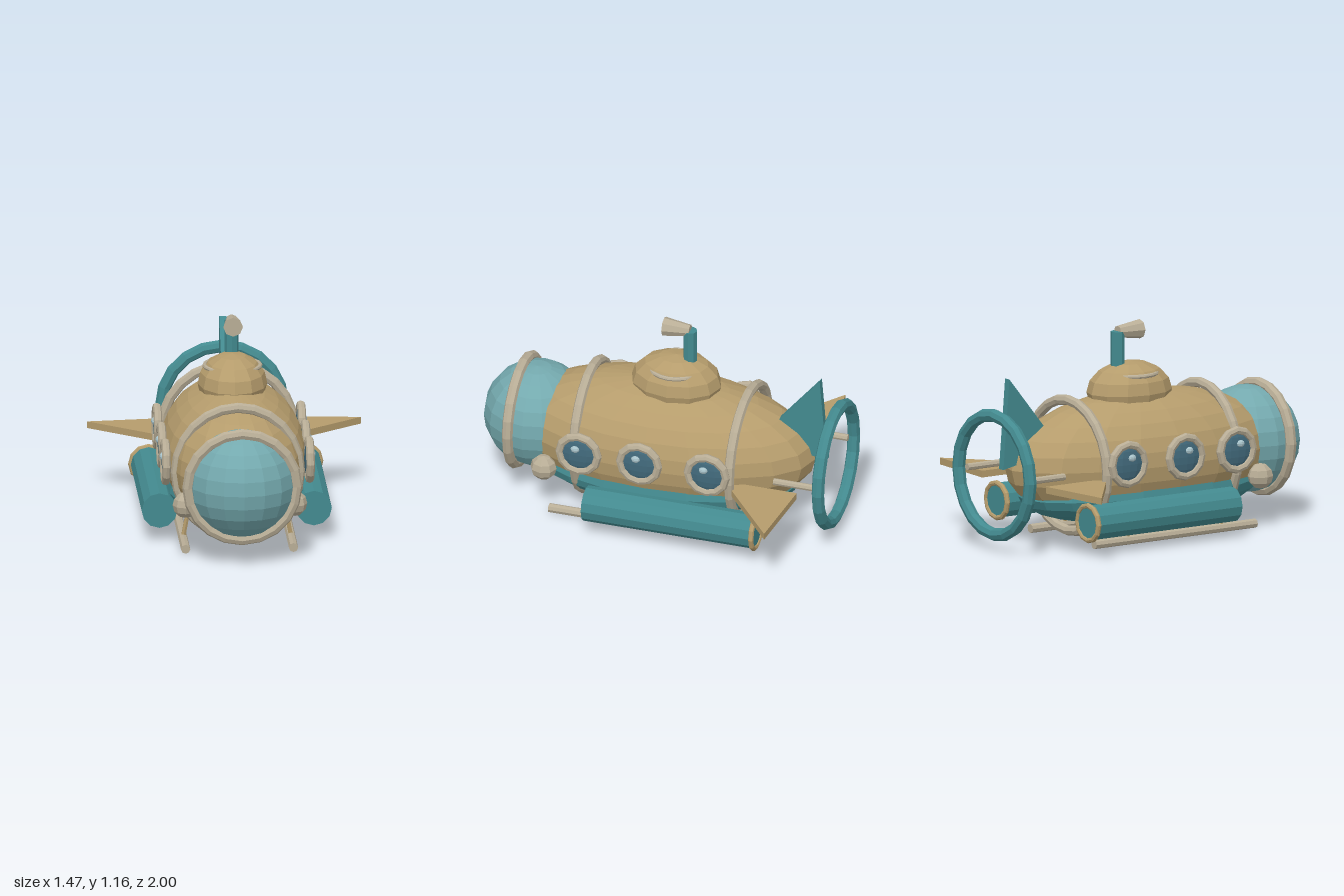
import * as THREE from 'three';

const mat = (color) => new THREE.MeshStandardMaterial({ color, flatShading: true });

export function createModel() {
  const root = new THREE.Group();
  root.name = 'submarine';
  const tan = mat(0xb59c6c), teal = mat(0x438a8f), glass = mat(0x74a9ae);
  const trim = mat(0xb8ad96), darkGlass = mat(0x426a7c), glint = mat(0xa9c4cb);

  const add = (name, geometry, material, x = 0, y = 0, z = 0) => {
    const mesh = new THREE.Mesh(geometry, material);
    mesh.name = name;
    mesh.position.set(x, y, z);
    root.add(mesh);
    return mesh;
  };
  const ellipsoid = (name, material, [rx, ry, rz], [x, y, z], w = 16, h = 12) =>
    add(name, new THREE.SphereGeometry(1, w, h).scale(rx, ry, rz), material, x, y, z);
  const ring = (name, material, radius, tube, x, y, z, segments = 20) =>
    add(name, new THREE.TorusGeometry(radius, tube, 8, segments), material, x, y, z);
  // Cylinder running along z from z0 (back) to z1 (front)
  const rodZ = (name, material, rBack, rFront, x, y, z0, z1, sides = 8) =>
    add(name, new THREE.CylinderGeometry(rFront, rBack, z1 - z0, sides).rotateX(Math.PI / 2),
      material, x, y, (z0 + z1) / 2);
  // Cylinder between two points
  const strut = (name, material, r, a, b) => {
    const p = new THREE.Vector3(...a), q = new THREE.Vector3(...b);
    const mesh = add(name, new THREE.CylinderGeometry(r, r, p.distanceTo(q), 6), material);
    mesh.position.copy(p).add(q).multiplyScalar(0.5);
    mesh.quaternion.setFromUnitVectors(new THREE.Vector3(0, 1, 0), q.sub(p).normalize());
  };
  // Flat plate from an outline, centred on its thickness
  const plate = (points, depth) => new THREE.ExtrudeGeometry(
    new THREE.Shape(points.map(([a, b]) => new THREE.Vector2(a, b))),
    { depth, bevelEnabled: false }).translate(0, 0, -depth / 2);

  // Hull, belly and front window
  ellipsoid('hull', tan, [0.39, 0.36, 0.85], [0, 0.42, 0], 20, 14);
  ellipsoid('belly', teal, [0.375, 0.18, 0.76], [0, 0.25, 0], 20, 12);
  ellipsoid('frontWindow', glass, [0.29, 0.29, 0.29], [0, 0.43, 0.71], 16, 12);
  ring('windowRim', trim, 0.293, 0.03, 0, 0.43, 0.79);
  ring('frontHullBand', trim, 0.356, 0.028, 0, 0.41, 0.405, 24).scale.x = 0.94;
  ring('rearHullBand', trim, 0.356, 0.028, 0, 0.41, -0.475, 24);

  // Tower with its band and periscope
  ellipsoid('tower', tan, [0.187, 0.165, 0.25], [0, 0.775, -0.07], 12, 8);
  ring('towerBand', trim, 0.15, 0.012, 0, 0.873, -0.07).rotation.x = Math.PI / 2;
  add('periscopeTube', new THREE.CylinderGeometry(0.038, 0.038, 0.25, 8), teal, 0, 0.98, -0.147);
  rodZ('periscopeHead', trim, 0.032, 0.053, 0, 1.103, -0.147, 0);

  // Tail fin and propeller ring
  add('tailFin', plate([[0.54, 0.51], [0.92, 0.435], [0.88, 0.925]], 0.04).rotateY(Math.PI / 2), teal);
  ring('propellerRing', teal, 0.325, 0.035, 0, 0.41, -0.965);

  for (const s of [1, -1]) {
    const side = s > 0 ? 'left' : 'right';

    // Portholes
    for (const z of [0.36, 0.02, -0.36]) {
      ring(side + 'PortholeRim', trim, 0.107, 0.023, s * 0.387, 0.46, z, 12).rotation.y = Math.PI / 2;
      ellipsoid(side + 'PortholeGlass', darkGlass, [0.024, 0.1, 0.1], [s * 0.383, 0.46, z], 12, 8);
      ellipsoid(side + 'PortholeGlint', glint, [0.016, 0.02, 0.025], [s * 0.404, 0.495, z + 0.015], 8, 6);
    }

    // Ballast tank with end ring
    rodZ(side + 'Tank', teal, 0.096, 0.096, s * 0.415, 0.175, -0.65, 0.31, 12);
    ring(side + 'TankRing', tan, 0.095, 0.015, s * 0.415, 0.175, -0.645, 12);

    // Landing skid and struts
    rodZ(side + 'Skid', trim, 0.025, 0.025, s * 0.29, 0.025, -0.515, 0.555);
    for (const z of [0.33, -0.29])
      strut(side + 'SkidStrut', tan, 0.013, [s * 0.29, 0.03, z], [s * 0.255, 0.22, z]);

    // Lamp, side fin and propeller ring mount
    ellipsoid(side + 'Lamp', trim, [0.067, 0.07, 0.073], [s * 0.295, 0.28, 0.585], 8, 6);
    add(side + 'Fin', plate([[s * 0.29, 0.43], [s * 0.735, 0.79], [s * 0.29, 0.835]], 0.037)
      .rotateX(-Math.PI / 2), tan, 0, 0.357, 0);
    rodZ(side + 'RingMount', trim, 0.019, 0.019, s * 0.27, 0.412, -0.95, -0.7);
  }
  return root;
}
